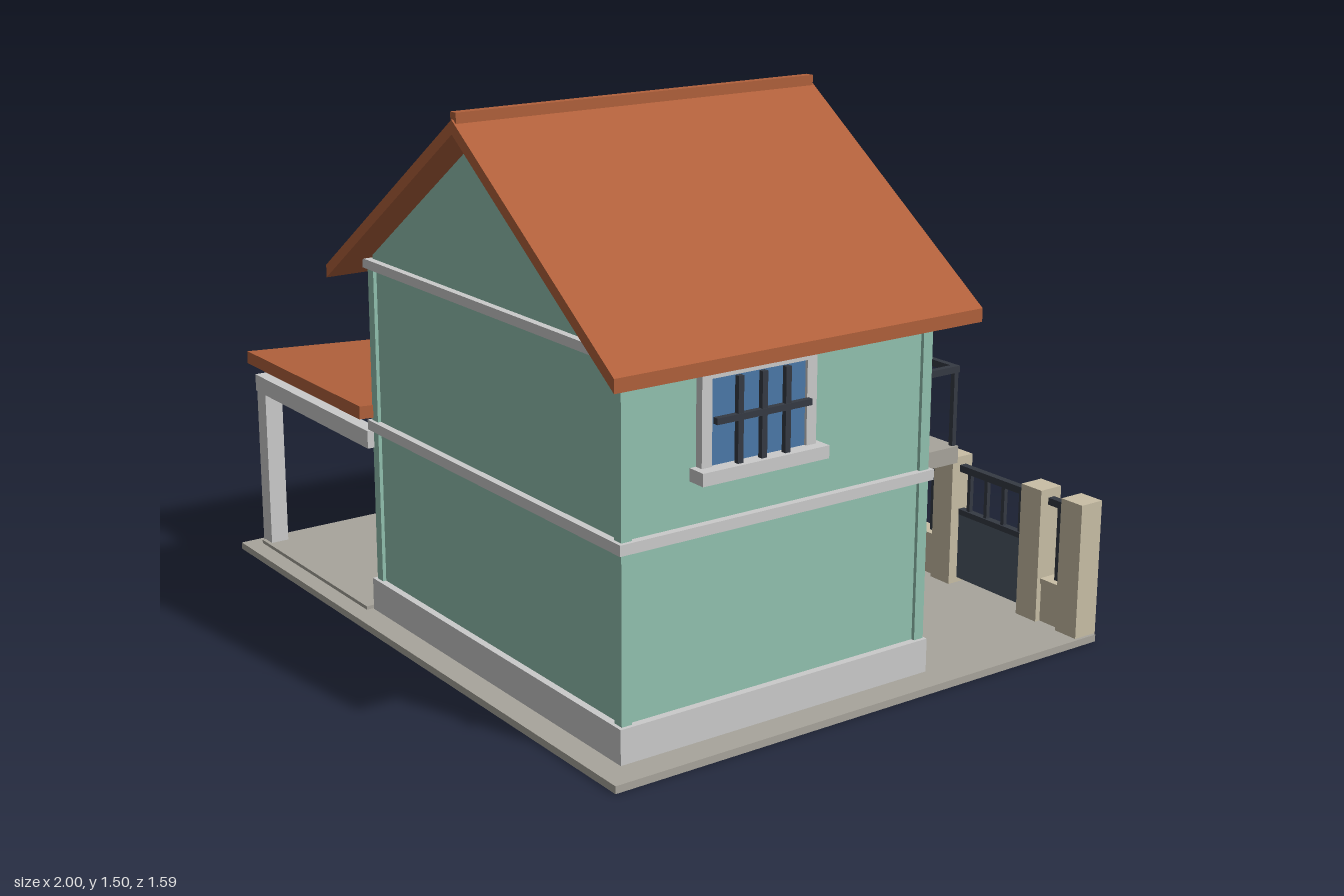
import * as THREE from 'three';

const mat = (name, color, extra = {}) => {
  const m = new THREE.MeshStandardMaterial({ color, ...extra });
  m.name = name;
  return m;
};

export function createModel() {
  const wall = mat('mint wall', 0x92c2b0);
  const trim = mat('pale grey trim', 0xcbcbcb);
  const paving = mat('paving grey', 0xa8a59c);
  const tile = mat('terracotta', 0xb0603b);
  const stone = mat('beige stone', 0xc9bfa6);
  const metal = mat('dark metal', 0x353a43);
  const slate = mat('slate panel', 0x4b5764);
  const glass = mat('blue glass', 0x4b78a8);
  const paleGlass = mat('pale glass', 0x82a9d0);
  const green = mat('leaf green', 0x69ad50, { flatShading: true });

  const house = new THREE.Group();
  house.name = 'house';
  const group = (name, parent = house) => {
    const g = new THREE.Group();
    g.name = name;
    parent.add(g);
    return g;
  };
  // Box given by its min and max on each axis
  const box = (parent, name, m, x0, x1, y0, y1, z0, z1) => {
    const mesh = new THREE.Mesh(new THREE.BoxGeometry(x1 - x0, y1 - y0, z1 - z0), m);
    mesh.position.set((x0 + x1) / 2, (y0 + y1) / 2, (z0 + z1) / 2);
    mesh.name = name;
    parent.add(mesh);
    return mesh;
  };
  // Outline in x and y, extruded from z0 to z1
  const prism = (parent, name, m, pts, z0, z1) => {
    const shape = new THREE.Shape(pts.map(p => new THREE.Vector2(...p)));
    const mesh = new THREE.Mesh(new THREE.ExtrudeGeometry(shape, { depth: z1 - z0, bevelEnabled: false }), m);
    mesh.position.z = z0;
    mesh.name = name;
    parent.add(mesh);
  };

  // Ground
  box(house, 'groundSlab', paving, -1, 1, 0, 0.02, -0.79, 0.79);
  box(house, 'carportFloor', paving, -0.96, -0.3, 0.02, 0.03, -0.7, 0.74);

  // Walls with gables, corner strips, plinth and bands
  const body = group('body');
  prism(body, 'walls', wall, [[-0.275, 0.02], [0.9, 0.02], [0.9, 1.035], [0.315, 1.45], [-0.275, 1.035]], -0.23, 0.7);
  for (const x of [-0.27, 0.895])
    for (const z of [-0.225, 0.695])
      box(body, 'cornerStrip', wall, x - 0.015, x + 0.015, 0.1, 1.01, z - 0.015, z + 0.015);
  box(body, 'plinth', trim, -0.295, 0.92, 0.02, 0.112, -0.245, 0.72);
  box(body, 'floorBand', trim, -0.295, 0.92, 0.545, 0.573, -0.25, 0.72);
  box(body, 'eavesBand', trim, -0.295, 0.92, 1.0, 1.025, -0.25, 0.72);
  box(body, 'gableVent', trim, 0.245, 0.385, 1.14, 1.25, -0.25, -0.22);

  // Main roof
  const roof = group('roof');
  prism(roof, 'roofSlopes', tile, [[-0.37, 0.967], [0.315, 1.451], [1, 0.967], [1, 1.002], [0.315, 1.487], [-0.37, 1.002]], -0.32, 0.79);
  box(roof, 'ridgeCap', tile, 0.302, 0.328, 1.465, 1.505, -0.315, 0.785);

  // Barred window facing local +z, centred on x = 0, with its base at y = 0
  const barredWindow = (w, h, bars) => {
    const g = group('barredWindow');
    const t = 0.03, a = w / 2;
    box(g, 'glass', glass, -a + t, a - t, 0.015, h - t, 0, 0.012);
    for (const s of [-1, 1]) {
      const c = s * (a - t / 2);
      box(g, 'frameSide', trim, c - t / 2, c + t / 2, 0, h, -0.01, 0.02);
    }
    box(g, 'frameTop', trim, -a + t, a - t, h - t, h, -0.01, 0.02);
    box(g, 'sill', trim, -a - 0.018, a + 0.018, -0.018, 0.015, -0.01, 0.05);
    for (let i = 1; i <= bars; i++) {
      const x = -a + t + (w - 2 * t) * i / (bars + 1);
      box(g, 'bar', metal, x - 0.008, x + 0.008, 0.015, h - t, 0.024, 0.038);
    }
    box(g, 'crossBar', metal, -a + t, a - t, h * 0.47, h * 0.47 + 0.016, 0.024, 0.04);
    return g;
  };
  for (const s of [-1, 1]) {
    const side = barredWindow(0.345, 0.26, 3);
    side.position.set(s > 0 ? 0.903 : -0.278, 0.7, 0.317);
    side.rotation.y = s * Math.PI / 2;
  }
  const ground = barredWindow(0.48, 0.27, 4);
  ground.position.set(0.12, 0.205, -0.232);
  ground.rotation.y = Math.PI;

  // Entrance door
  const door = group('entranceDoor');
  box(door, 'doorFrame', trim, 0.5, 0.78, 0.02, 0.485, -0.25, -0.22);
  box(door, 'doorLeaf', tile, 0.525, 0.755, 0.02, 0.46, -0.264, -0.245);
  box(door, 'doorHandle', metal, 0.545, 0.56, 0.22, 0.25, -0.272, -0.26);

  // Glazed balcony door
  const slider = group('balconyDoor');
  box(slider, 'sliderFrame', trim, 0.14, 0.62, 0.57, 0.95, -0.252, -0.22);
  for (const x of [0.17, 0.387])
    box(slider, 'pane', paleGlass, x, x + 0.203, 0.6, 0.925, -0.26, -0.251);
  box(slider, 'mullion', trim, 0.373, 0.387, 0.6, 0.925, -0.264, -0.25);

  // Balcony and its railing
  const balcony = group('balcony');
  box(balcony, 'balconySlab', paving, -0.035, 0.79, 0.517, 0.564, -0.455, -0.23);
  box(balcony, 'topRail', metal, -0.035, 0.785, 0.765, 0.783, -0.455, -0.437);
  for (const x of [-0.035, 0.767])
    box(balcony, 'sideRail', metal, x, x + 0.018, 0.765, 0.783, -0.44, -0.24);
  for (let i = 0; i < 9; i++) {
    const x = -0.026 + i * 0.1003;
    box(balcony, 'baluster', metal, x - 0.007, x + 0.007, 0.56, 0.768, -0.452, -0.439);
  }

  // Carport
  const carport = group('carport');
  const canopy = box(carport, 'carportRoof', tile, -0.98, -0.28, 0.549, 0.585, -0.29, 0.753);
  canopy.rotation.x = -0.065;
  for (const z of [-0.24, 0.675])
    box(carport, 'carportPost', trim, -0.972, -0.918, 0.02, 0.5, z, z + 0.054);
  for (const z of [-0.24, 0.69])
    box(carport, 'crossBeam', trim, -0.978, -0.28, 0.495, z < 0 ? 0.53 : 0.545, z, z + 0.04);
  box(carport, 'sideBeam', trim, -0.975, -0.925, 0.495, 0.535, -0.24, 0.72);

  // Boundary fence
  const fence = group('fence');
  for (const x of [-0.962, -0.26, 0.453, 0.802, 0.953])
    box(fence, 'fencePost', stone, x - 0.038, x + 0.038, 0, 0.4, -0.797, -0.722);
  const railing = (x0, x1, y0, count) => {
    box(fence, 'fenceRail', metal, x0, x1, 0.355, 0.375, -0.772, -0.75);
    for (let i = 0; i < count; i++) {
      const x = x0 + (x1 - x0) * (i + 0.5) / count;
      box(fence, 'fenceBar', metal, x - 0.006, x + 0.006, y0, 0.36, -0.767, -0.755);
    }
  };
  const gate = (x0, x1, count) => {
    box(fence, 'gatePanel', slate, x0, x1, 0.035, 0.23, -0.77, -0.752);
    box(fence, 'gateRail', metal, x0, x1, 0.227, 0.243, -0.772, -0.75);
    railing(x0, x1, 0.24, count);
  };
  const lowWall = (x0, x1, count) => {
    box(fence, 'lowWall', stone, x0, x1, 0.02, 0.13, -0.785, -0.738);
    box(fence, 'wallCoping', stone, x0, x1, 0.13, 0.145, -0.79, -0.733);
    railing(x0, x1, 0.14, count);
  };
  gate(-0.924, -0.298, 8);
  lowWall(-0.222, 0.415, 8);
  gate(0.491, 0.764, 4);
  lowWall(0.84, 0.915, 1);

  // Planting bed with two shrubs
  const garden = group('garden');
  box(garden, 'lawn', green, -0.11, 0.23, 0.02, 0.04, -0.535, -0.315);
  for (const x of [-0.015, 0.15]) {
    const shrub = new THREE.Mesh(new THREE.IcosahedronGeometry(0.076, 1), green);
    shrub.name = 'shrub';
    shrub.scale.y = 0.8;
    shrub.position.set(x, 0.094, -0.41);
    garden.add(shrub);
  }
  return house;
}
